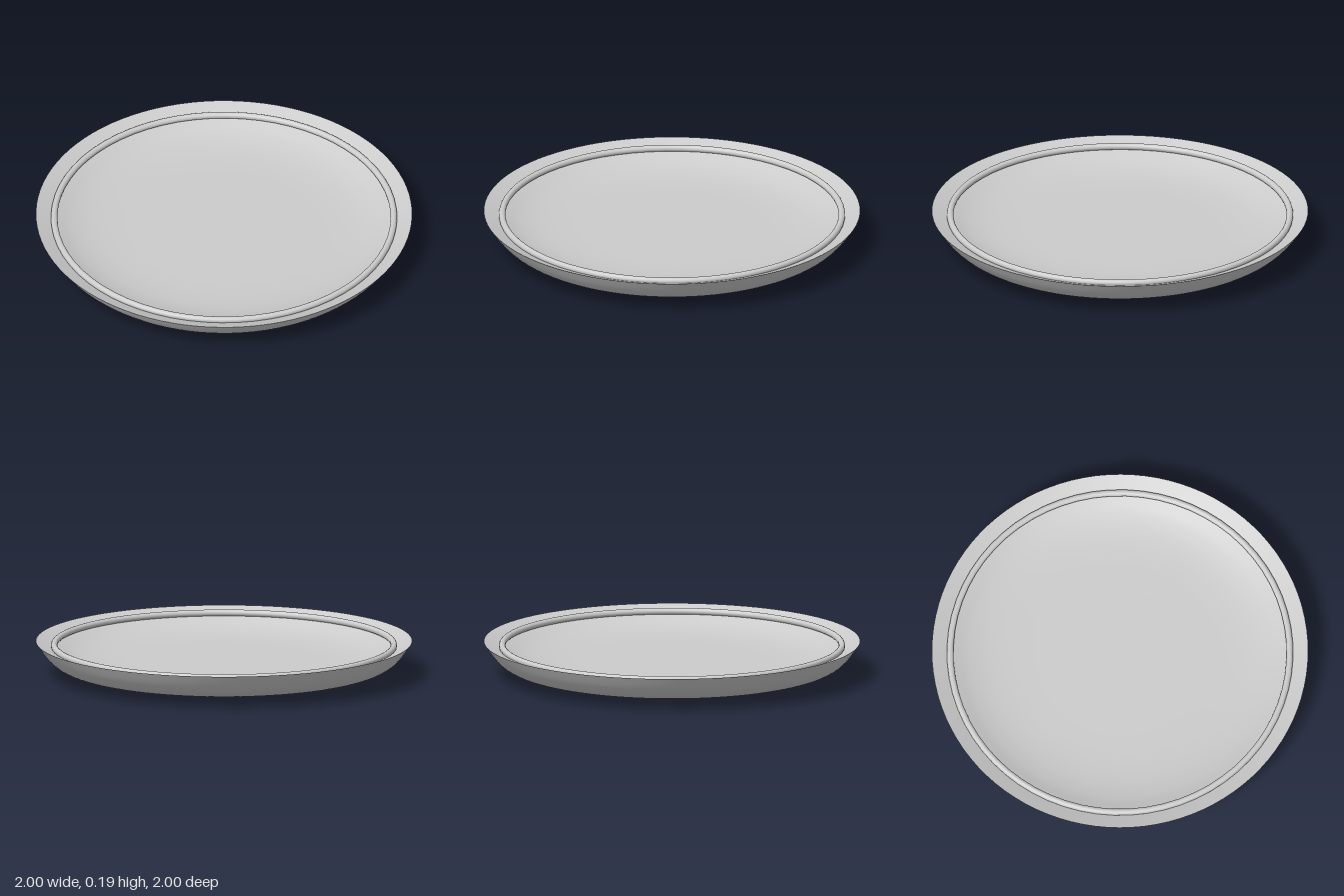
import * as THREE from 'three';

export function createModel() {
  const plate = new THREE.Group();
  plate.name = 'plate';
  const grey = new THREE.MeshStandardMaterial({ color: 0xcccccc });
  grey.name = 'grey ceramic';
  grey.side = THREE.DoubleSide; // each dish face is an open sheet

  const add = (name, geometry, y = 0) => {
    const mesh = new THREE.Mesh(geometry, grey);
    mesh.name = name;
    mesh.position.y = y;
    plate.add(mesh);
  };
  const ring = (radius, tube) => new THREE.TorusGeometry(radius, tube, 16, 64).rotateX(Math.PI / 2);

  // Smooth round sheet through [radius, height] points
  const sheet = (profile) => {
    const curve = new THREE.SplineCurve(profile.map(([r, y]) => new THREE.Vector2(r, y)));
    return new THREE.LatheGeometry(curve.getPoints(40), 96);
  };

  // Underside: flat base with a steep flared wall
  add('underside', sheet([
    [0, 0.036], [0.25, 0.036], [0.5, 0.035], [0.65, 0.035], [0.75, 0.038],
    [0.84, 0.05], [0.9, 0.075], [0.95, 0.12], [1, 0.19],
  ]));

  // Eating surface: higher floor rising gently to the same lip
  add('eatingSurface', sheet([
    [0, 0.085], [0.3, 0.085], [0.55, 0.086], [0.7, 0.096], [0.8, 0.115],
    [0.87, 0.139], [0.93, 0.163], [1, 0.19],
  ]));

  // Raised ring inside the lip and foot ring below the base
  add('rimRing', ring(0.903, 0.0175), 0.167);
  add('footRing', ring(0.33, 0.0135), 0.0135);
  return plate;
}
